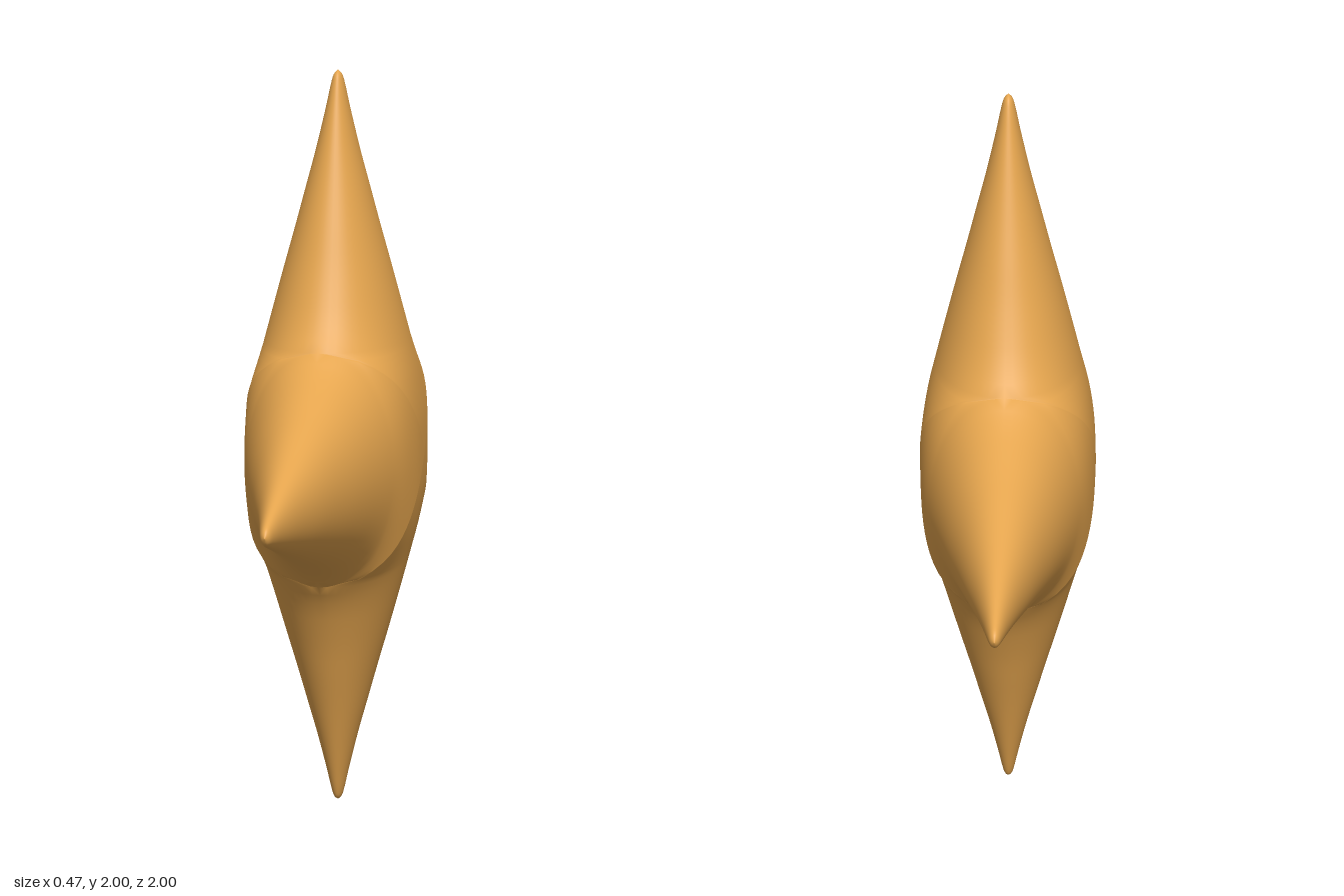
import * as THREE from 'three';
import { mergeVertices } from 'three/addons/utils/BufferGeometryUtils.js';

// Smooth curve through [x, y] points, returned as a function y(x)
function profile(points) {
  const pts = new THREE.SplineCurve(points.map(([x, y]) => new THREE.Vector2(x, y))).getPoints(800);
  return (x) => {
    for (let i = 1; i < pts.length; i++) {
      const a = pts[i - 1], b = pts[i];
      if (x <= b.x) {
        const t = b.x > a.x ? (x - a.x) / (b.x - a.x) : 0;
        return Math.max(0, a.y + (b.y - a.y) * t);
      }
    }
    return 0;
  };
}

// Outline of one quadrant, symmetric about the diagonal corner
const CORNER = 0.305;
const arm = [[0.35, 0.273], [0.4, 0.245], [0.5, 0.2], [0.6, 0.161], [0.7, 0.123],
  [0.8, 0.087], [0.9, 0.052], [0.96, 0.031], [0.988, 0.018], [1, 0]];
const rim = profile([...arm.map(([u, w]) => [w, u]).reverse(), [CORNER, CORNER], ...arm]);

// Half thickness along the middle of an arm
const spine = profile([[0, 0.235], [0.1, 0.23], [0.2, 0.215], [0.3, 0.191], [0.4, 0.165], [0.5, 0.138],
  [0.6, 0.11], [0.7, 0.083], [0.8, 0.056], [0.9, 0.032], [0.96, 0.019], [0.988, 0.011], [1, 0]]);

// Grid over half an arm: u runs outwards, v across from the spine to the rim or diagonal
function halfArmGrid(inner, outer, across) {
  const rows = [];
  for (let i = 0; i <= inner + outer; i++) {
    const u = i <= inner
      ? CORNER * i / inner
      : CORNER + (1 - CORNER) * Math.sin((Math.PI / 2) * (i - inner) / outer);
    const w = rim(u);
    const row = [];
    for (let j = 0; j <= across; j++) {
      const v = Math.min(u, w) * Math.sin((Math.PI / 2) * j / across);
      const k = w > 0 ? Math.min(1, v / w) : 1;
      const onRim = i >= inner && j === across;
      row.push([u, v, onRim ? 0 : spine(u) * Math.sqrt(1 - k * k)]);
    }
    rows.push(row);
  }
  return rows;
}

function starGeometry() {
  const rows = halfArmGrid(16, 40, 14);
  const pos = [];
  // Mirror the half arm into eight octants on both sides
  for (const sx of [1, -1]) for (const sy of [1, -1]) for (const sz of [1, -1]) for (const swap of [1, -1]) {
    const put = ([u, v, h]) => {
      const [a, b] = swap > 0 ? [u, v] : [v, u];
      pos.push(sx * h, 1 + sy * b, sz * a);
    };
    const tri = (a, b, c) => (sx * sy * sz * swap > 0 ? [a, b, c] : [a, c, b]).forEach(put);
    for (let i = 0; i + 1 < rows.length; i++) {
      for (let j = 0; j + 1 < rows[i].length; j++) {
        const a = rows[i][j], b = rows[i][j + 1], c = rows[i + 1][j + 1], d = rows[i + 1][j];
        if (i > 0) tri(a, b, c);
        if (i + 2 < rows.length) tri(a, c, d);
      }
    }
  }
  const raw = new THREE.BufferGeometry();
  raw.setAttribute('position', new THREE.Float32BufferAttribute(pos, 3));
  const geometry = mergeVertices(raw, 1e-5);
  geometry.computeVertexNormals();
  return geometry;
}

export function createModel() {
  const group = new THREE.Group();
  group.name = 'fourPointedStar';
  const star = new THREE.Mesh(starGeometry(), new THREE.MeshStandardMaterial({ color: 0xe5a54e }));
  star.name = 'starBody';
  group.add(star);
  return group;
}
